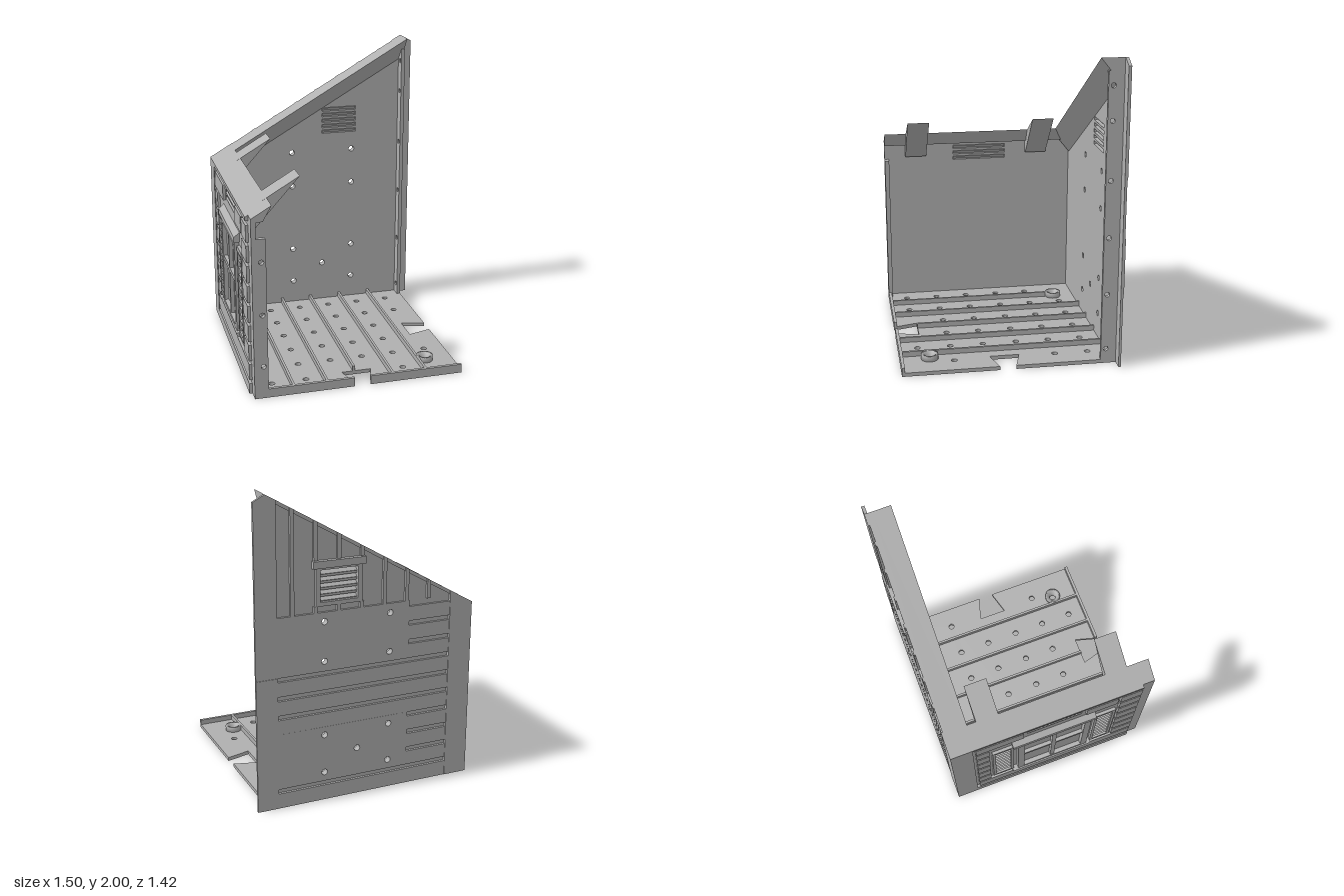
import * as THREE from 'three';

const grey = new THREE.MeshStandardMaterial({ color: 0xb0b0b0 });
grey.name = 'plain grey';

const SLOPE = 0.5767;
const roofY = (x) => 1.19 + SLOPE * (x + 0.73);

export function createModel() {
  const model = new THREE.Group();

  const add = (parent, name, geometry) => {
    const mesh = new THREE.Mesh(geometry, grey);
    mesh.name = name;
    parent.add(mesh);
    return mesh;
  };
  const group = (name) => {
    const g = new THREE.Group();
    g.name = name;
    model.add(g);
    return g;
  };
  // box given by its limits on each axis
  const box = (parent, name, x0, x1, y0, y1, z0, z1) => {
    const m = add(parent, name, new THREE.BoxGeometry(x1 - x0, y1 - y0, z1 - z0));
    m.position.set((x0 + x1) / 2, (y0 + y1) / 2, (z0 + z1) / 2);
    return m;
  };
  // flat outline with round holes [u, v, r] and rectangular slots [u0, u1, v0, v1]
  const plate = (points, depth, rounds = [], slots = []) => {
    const shape = new THREE.Shape(points.map((p) => new THREE.Vector2(...p)));
    rounds.forEach(([u, v, r]) => shape.holes.push(new THREE.Path().absarc(u, v, r, 0, Math.PI * 2, true)));
    slots.forEach(([a, b, c, d]) => shape.holes.push(
      new THREE.Path([[a, c], [a, d], [b, d], [b, c]].map((p) => new THREE.Vector2(...p)))));
    return new THREE.ExtrudeGeometry(shape, { depth, bevelEnabled: false, curveSegments: 8 });
  };
  // plates facing z, x (outline in z,y, growing towards -x) and y (outline in x,-z)
  const plateZ = (parent, name, pts, z, d, r, s) => add(parent, name, plate(pts, d, r, s).translate(0, 0, z));
  const plateX = (parent, name, pts, x, d, r, s) =>
    add(parent, name, plate(pts, d, r, s).rotateY(-Math.PI / 2).translate(x, 0, 0));
  const plateY = (parent, name, pts, y, d, r, s) =>
    add(parent, name, plate(pts, d, r, s).rotateX(-Math.PI / 2).translate(0, y, 0));
  const rect = (a, b, c, d) => [[a, c], [b, c], [b, d], [a, d]];

  // ---- floor with dovetail notches, peg holes, ribs and bosses
  const floor = group('floor');
  const pegs = [];
  [-0.575, -0.35, -0.13, 0.09, 0.31, 0.535].forEach((x, i) =>
    [-0.525, -0.305, -0.085, 0.14, 0.36, 0.58].forEach((z, j) => {
      if (i === 5 && (j === 2 || j === 3 || j === 5)) return;
      if (j === 5 && (i === 2 || i === 3)) return;
      pegs.push([x, -z, 0.02]);
    }));
  pegs.push([0.485, -0.515, 0.022]);
  plateY(floor, 'floorPlate', [
    [-0.71, -0.71], [-0.055, -0.71], [-0.1, -0.55], [0.095, -0.55], [0.05, -0.71], [0.675, -0.71],
    [0.675, -0.08], [0.515, -0.125], [0.515, 0.07], [0.675, 0.025], [0.675, 0.68], [-0.71, 0.68],
  ], 0, 0.025, pegs);
  [-0.455, -0.235, -0.018, 0.205, 0.43].forEach((x, i) =>
    box(floor, 'floorRib', x - 0.008, x + 0.008, 0.025, 0.06, i === 0 ? -0.44 : -0.65, i === 2 ? 0.55 : 0.69));
  box(floor, 'frontLip', -0.68, -0.055, 0.025, 0.06, 0.69, 0.71);
  box(floor, 'frontLip', 0.05, 0.675, 0.025, 0.06, 0.69, 0.71);
  const bossProfile = [[0.022, 0.02], [0.056, 0.02], [0.056, 0.06], [0.04, 0.06], [0.022, 0.03], [0.022, 0.02]]
    .map((p) => new THREE.Vector2(...p));
  [[0.485, 0.515], [-0.455, -0.5]].forEach(([x, z]) =>
    add(floor, 'screwBoss', new THREE.LatheGeometry(bossProfile, 24)).position.set(x, 0, z));

  // ---- back wall: sloped panel with vent slots and screw holes
  const back = group('backWall');
  const wallHoles = [[0.075, 0.315, 0.02]];
  [-0.145, 0.3].forEach((x) => [0.19, 0.445, 0.935, 1.19].forEach((y) => wallHoles.push([x, y, 0.02])));
  const backSlots = [0, 1, 2, 3, 4].map((i) => [0.08, 0.33, 1.32 + i * 0.041, 1.345 + i * 0.041]);
  const sloped = (x0, x1, y0) => [[x0, y0], [x1, y0], [x1, roofY(x1)], [x0, roofY(x0)]];
  plateZ(back, 'backPanel', sloped(-0.71, 0.675, 0), -0.68, 0.03, wallHoles, backSlots);
  plateZ(back, 'cornerStrip', sloped(-0.73, -0.57, 0), -0.7, 0.02);

  // raised bands, their holes and the tongue along the open edge
  [[0.13, 0.5], [0.87, 1.25]].forEach(([y0, y1]) => {
    plateZ(back, 'smoothBand', rect(-0.28, 0.75, y0, y1), -0.696, 0.016,
      wallHoles.filter((h) => h[1] > y0 && h[1] < y1));
  });
  box(back, 'baseBand', -0.57, 0.75, 0, 0.1, -0.696, -0.68);
  box(back, 'edgeBlock', 0.61, 0.75, 0.5, 0.87, -0.7, -0.68);
  box(back, 'edgeBlock', 0.61, 0.75, 0.1, 0.13, -0.696, -0.68);
  plateZ(back, 'upperEdge', [[0.61, 1.25], [0.75, 1.25], [0.75, 1.96], [0.675, 2], [0.61, roofY(0.61)]], -0.7, 0.02);

  // horizontal planks: short ones beside the bands, long ones between them
  for (let i = 0; i < 9; i++) {
    const y = 0.13 + i * 0.1235;
    const long = i === 3 || i === 4 || i === 5;
    box(back, 'plank', -0.57, long ? 0.61 : -0.28, y, y + 0.094, -0.696, -0.68);
  }

  // upright battens under the roof line
  [0.51, 0.36, 0.205, 0.05, -0.105, -0.26, -0.415].forEach((x) => {
    const behindVent = x > 0.04 && x < 0.37;
    if (roofY(x) < 1.3) return;
    if (behindVent) {
      plateZ(back, 'batten', rect(x - 0.012, x + 0.012, 1.25, 1.29), -0.698, 0.018);
      plateZ(back, 'batten', sloped(x - 0.012, x + 0.012, 1.575), -0.698, 0.018);
    } else plateZ(back, 'batten', sloped(x - 0.012, x + 0.012, 1.25), -0.698, 0.018);
  });
  plateZ(back, 'roofTrim', [
    [-0.57, roofY(-0.57) - 0.025], [0.61, roofY(0.61) - 0.025], [0.61, roofY(0.61)], [-0.57, roofY(-0.57)],
  ], -0.69, 0.01);

  // vent surround and louvres
  plateZ(back, 'ventFrame', rect(0.05, 0.36, 1.29, 1.54), -0.7, 0.02, [], [[0.08, 0.33, 1.315, 1.515]]);
  const hood = add(back, 'ventHood', new THREE.BoxGeometry(0.35, 0.045, 0.03));
  hood.position.set(0.205, 1.55, -0.695);
  backSlots.forEach(([a, b, c, d]) => {
    const slat = add(back, 'louvre', new THREE.BoxGeometry(b - a, 0.005, 0.04));
    slat.position.set((a + b) / 2, (c + d) / 2, -0.665);
    slat.rotation.x = -0.7;
  });

  // wedge flange below the slope, and the upright flange with holes
  const shear = new THREE.Matrix4().set(1, 0, 0, 0, SLOPE, 1, 0, 0, 0, 0, 1, 0, 0, 0, 0, 1);
  const wedgeTop = roofY(0);
  const wedge = plateX(back, 'roofFlange',
    [[-0.65, wedgeTop - 0.15], [-0.53, wedgeTop], [-0.65, wedgeTop]], 0.675, 1.335);
  wedge.geometry.applyMatrix4(shear);
  plateX(back, 'sideFlange', rect(-0.65, -0.58, 0.025, 1.92), 0.675, 0.025,
    [0.1, 0.475, 0.855, 1.23, 1.61, 1.83].map((y) => [-0.612, y, 0.016]));

  // ---- side wall with vent slots
  const side = group('sideWall');
  const sideSlots = [1.05, 1.09, 1.13].map((y) => [-0.17, 0.21, y, y + 0.025]);
  plateX(side, 'sidePanel', rect(-0.68, 0.71, 0, 1.175), -0.68, 0.03, [], sideSlots);
  plateZ(side, 'sideRoofFlange', [
    [-0.71, 1.175], [-0.68, 1.175], [-0.635, 1.18], [-0.58, 1.277], [-0.71, roofY(-0.71)],
  ], -0.68, 1.39);
  plateZ(side, 'frontFlange', rect(-0.68, -0.62, 0.025, 1.07), 0.68, 0.03,
    [0.22, 0.57, 0.92].map((y) => [-0.65, y, 0.016]));
  sideSlots.forEach(([a, b, c, d]) => {
    const slat = add(side, 'louvre', new THREE.BoxGeometry(0.04, 0.005, b - a));
    slat.position.set(-0.695, (c + d) / 2, (a + b) / 2);
    slat.rotation.z = 0.7;
  });

  // wedge tabs on the roof flange
  [0.41, -0.47].forEach((z) => plateZ(side, 'roofTab',
    [[-0.68, 1.09], [-0.65, 1.09], [-0.37, 1.4], [-0.68, roofY(-0.68)]], z, 0.15, []));

  // raised cladding: corner, base, top trim and planks
  box(side, 'cornerStrip', -0.73, -0.71, 0, 1.18, -0.7, -0.55);
  box(side, 'baseStrip', -0.73, -0.71, 0, 0.07, -0.55, 0.63);
  plateZ(side, 'topTrim', [[-0.73, 1.165], [-0.71, 1.165], [-0.71, roofY(-0.71)], [-0.73, 1.19]], -0.7, 1.33);
  for (let i = 0; i < 8; i++) {
    const y0 = 0.095 + i * 0.133;
    const y1 = y0 + 0.11;
    const spans = i === 0 ? [[-0.53, 0.63]]
      : i === 7 ? [[-0.53, -0.2], [0.24, 0.46], [0.48, 0.63]]
        : [[-0.53, -0.44], [0.48, 0.63]];
    spans.forEach(([a, b]) => box(side, 'plank', -0.728, -0.71, y0, y1, a, b));
  }

  // window with glazing bars, hood and sill
  const win = group('window');
  plateX(win, 'windowFrame', rect(-0.24, 0.28, 0.25, 0.92), -0.71, 0.03, [], [[-0.195, 0.235, 0.3, 0.87]]);
  box(win, 'mullion', -0.735, -0.71, 0.3, 0.87, 0.005, 0.035);
  box(win, 'transom', -0.735, -0.71, 0.6, 0.63, -0.195, 0.235);
  plateZ(win, 'windowHood', [[-0.71, 0.91], [-0.71, 0.975], [-0.748, 0.945], [-0.75, 0.91]], -0.28, 0.59);
  plateZ(win, 'windowSill', [[-0.71, 0.235], [-0.71, 0.285], [-0.75, 0.275], [-0.745, 0.255]], -0.28, 0.59);

  // louvred shutters either side
  const shutters = group('shutters');
  [[-0.42, -0.27], [0.31, 0.46]].forEach(([a, b]) => {
    plateX(shutters, 'shutterFrame', rect(a, b, 0.27, 0.89), -0.71, 0.02, [],
      [[a + 0.02, b - 0.02, 0.3, 0.86]]);
    for (let i = 0; i < 12; i++) {
      const slat = add(shutters, 'shutterSlat', new THREE.BoxGeometry(0.02, 0.02, b - a - 0.04));
      slat.position.set(-0.711, 0.325 + i * 0.0465, (a + b) / 2);
      slat.rotation.z = 0.5;
    }
  });

  return model;
}
